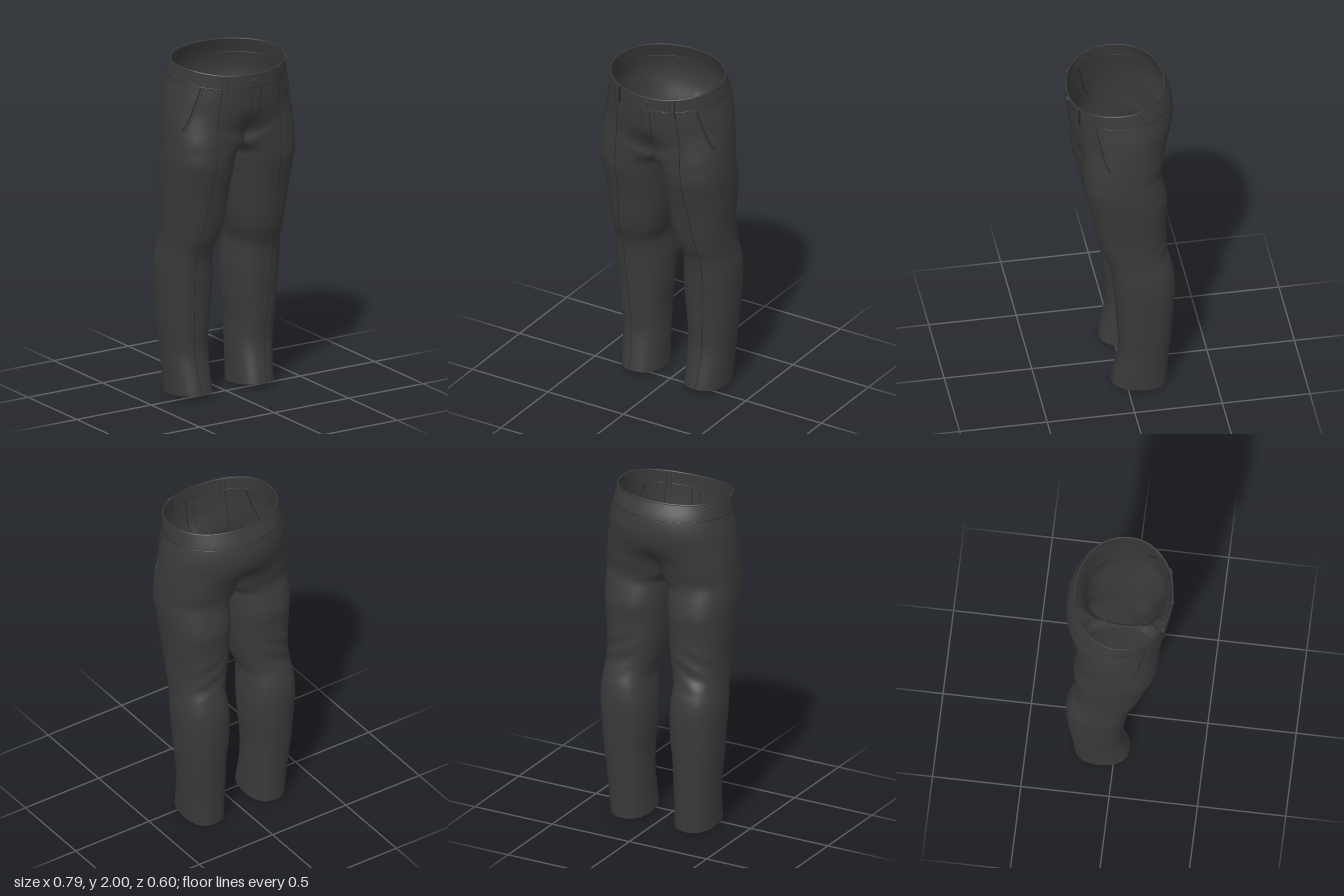
import * as THREE from 'three';
import { mergeGeometries, mergeVertices } from 'three/addons/utils/BufferGeometryUtils.js';

// Silhouette by height: y, outer x, inner x, front z, back z
const KEYS = [
  [0, .325, .088, .085, -.23], [.15, .333, .09, .06, -.238], [.27, .342, .09, .042, -.247],
  [.4, .355, .088, .05, -.258], [.55, .367, .073, .06, -.269], [.7, .376, .07, .075, -.276],
  [.8, .375, .078, .085, -.268], [.87, .367, .082, .102, -.25], [.95, .365, .06, .135, -.228],
  [1.05, .367, .04, .162, -.226], [1.2, .38, .025, .19, -.226], [1.3, .388, .017, .215, -.234],
  [1.4, .395, .008, .238, -.216], [1.45, .395, .003, .242, -.204], [1.5, .394, -.05, .245, -.202],
  [1.6, .39, -.05, .257, -.236], [1.7, .383, -.05, .28, -.277], [1.8, .37, -.05, .292, -.298],
  [1.9, .35, -.05, .297, -.288], [2, .335, -.05, .298, -.25],
];
const CROTCH = 1.5, OUT = 56, IN = 14, ARC = THREE.MathUtils.degToRad(140);
const smooth = (a, b, t) => THREE.MathUtils.smoothstep(t, a, b);
const pow = (c, e) => Math.sign(c) * Math.abs(c) ** e;

// Cubic interpolation of one key column
function key(col, y) {
  let i = 0;
  while (i < KEYS.length - 2 && y > KEYS[i + 1][0]) i++;
  const slope = (k) => {
    const a = KEYS[Math.max(k - 1, 0)], b = KEYS[Math.min(k + 1, KEYS.length - 1)];
    return (b[col] - a[col]) / (b[0] - a[0]);
  };
  const p = KEYS[i], q = KEYS[i + 1], h = q[0] - p[0], t = (y - p[0]) / h;
  return p[col] * (1 + 2 * t) * (1 - t) ** 2 + q[col] * t * t * (3 - 2 * t)
    + h * slope(i) * t * (1 - t) ** 2 + h * slope(i + 1) * t * t * (t - 1);
}

// Left half of the cloth. u 0..1 runs front, outside, back; u 1..2 is the inside of the leg
function cloth(u, v) {
  const xo = key(1, v), xi = key(2, v), zf = key(3, v), zb = key(4, v);
  const theta = u <= 1 ? ARC * (1 - 2 * u) : -ARC - (u - 1) * 2 * (Math.PI - ARC);
  const cz = (zf + zb) / 2, rz = (zf - zb) / 2;
  let x = Math.max(0, (xo + xi) / 2 + (xo - xi) / 2 * pow(Math.cos(theta), .85));
  let z = cz + rz * pow(Math.sin(theta), .85);
  if (v >= CROTCH && u <= 1) {
    const w = smooth(CROTCH, 1.74, v), phi = Math.PI * (.5 - u);
    x = THREE.MathUtils.lerp(x, xo * pow(Math.cos(phi), .95), w);
    z = THREE.MathUtils.lerp(z, cz + rz * pow(Math.sin(phi), .95), w);
    if (u === 0 || u === 1) x = 0;
  }
  // Soft folds at the crotch and behind the knee
  if (u < .5) z += .005 * Math.sin(55 * (v - .4 * x)) * Math.exp(-(((v - 1.52) / .1) ** 2) - (x / .15) ** 2);
  else if (u < 1) z += .004 * Math.sin(60 * (v + .5 * x)) * Math.exp(-(((v - 1) / .12) ** 2)) * Math.sin((u - .5) * 2 * Math.PI);
  // Sloping waist and hem
  const rise = z > 0 ? -.04 * (z / .3) ** 2 : .014 * Math.min(1, -z / .25);
  const y = v + smooth(1.75, 2, v) * (rise - .02) + (1 - smooth(0, .2, v)) * .03 * (z + .235) / .32;
  return new THREE.Vector3(x, y, z);
}

function halfGeometry(side) {
  const rows = [], pos = [], index = [], cols = OUT + IN;
  for (let i = 0; i <= 75; i++) rows.push(CROTCH * i / 75);
  for (let i = 1; i <= 28; i++) rows.push(CROTCH + .5 * i / 28);
  for (const v of rows) {
    for (let j = 0; j < cols; j++) {
      const p = cloth(j <= OUT ? j / OUT : 1 + (j - OUT) / IN, v);
      pos.push(p.x * side, p.y, p.z);
    }
  }
  for (let i = 0; i < rows.length - 1; i++) {
    const count = rows[i] < CROTCH - 1e-6 ? cols : OUT;
    for (let j = 0; j < count; j++) {
      const k = (j + 1) % cols;
      const a = i * cols + j, b = i * cols + k, c = b + cols, d = a + cols;
      if (side > 0) index.push(a, b, c, a, c, d);
      else index.push(a, c, b, a, d, c);
    }
  }
  const g = new THREE.BufferGeometry();
  g.setAttribute('position', new THREE.Float32BufferAttribute(pos, 3));
  g.setIndex(index);
  return g;
}

// Front u for a given x at height v
function uAtX(x, v) {
  let lo = 0, hi = .5;
  for (let i = 0; i < 24; i++) {
    const mid = (lo + hi) / 2;
    if (cloth(mid, v).x < x) lo = mid; else hi = mid;
  }
  return lo;
}
const onFront = (x, v) => {
  const p = cloth(uAtX(Math.abs(x), v), v);
  p.x = x;
  return p;
};

export function createModel() {
  const group = new THREE.Group();
  const fabric = new THREE.MeshStandardMaterial({ color: 0x3a3a3a, side: THREE.DoubleSide });
  fabric.name = 'charcoal fabric';
  const thread = new THREE.MeshStandardMaterial({ color: 0x2a2a2a });
  thread.name = 'dark seam';

  const add = (name, geometry, material) => {
    const mesh = new THREE.Mesh(geometry, material);
    mesh.name = name;
    group.add(mesh);
    return mesh;
  };
  const cord = (name, points, radius, material, closed = false) => add(name,
    new THREE.TubeGeometry(new THREE.CatmullRomCurve3(points, closed), points.length * 3, radius, 6, closed), material);
  const mirrored = (points, side) => points.map((p) => new THREE.Vector3(p.x * side, p.y, p.z));

  // Seat and both legs as one welded cloth
  const body = mergeVertices(mergeGeometries([halfGeometry(1), halfGeometry(-1)]), 1e-5);
  body.computeVertexNormals();
  add('trousers', body, fabric);

  // Waist rim and waistband seam
  const loop = (v) => {
    const half = Array.from({ length: 33 }, (_, i) => cloth(i / 32, v));
    return [...half, ...mirrored(half.slice(1, -1), -1).reverse()];
  };
  cord('waistRim', loop(1.998), .005, fabric, true);
  cord('waistbandSeam', loop(1.905), .0025, thread, true);

  for (const side of [1, -1]) {
    // Pressed crease down the front of each leg
    const creaseX = new THREE.CatmullRomCurve3([[.19, 1.88], [.205, 1.7], [.222, 1.3], [.258, .87], [.24, .4], [.218, .01]]
      .map(([x, y]) => new THREE.Vector3(x, y, 0))).getPoints(50);
    cord('frontCrease', mirrored(creaseX.map((p) => onFront(p.x, p.y)), side), .002, thread);

    // Slanted pocket: raised welt with a dark opening
    const pocket = (du) => [[.3, 1.9], [.305, 1.83], [.32, 1.75], [.35, 1.68], [.4, 1.62]]
      .map(([u, v]) => cloth(u + du, v));
    cord('pocketOpening', mirrored(pocket(0), side), .004, thread);
    cord('pocketWelt', mirrored(pocket(-.014), side), .004, fabric);

    // Belt loop
    const p = onFront(.178 * side, 1.925);
    const beltLoop = add('beltLoop', new THREE.BoxGeometry(.026, .105, .016), fabric);
    beltLoop.position.set(p.x, 1.895, p.z + .006);
    beltLoop.rotation.y = side * .45;
    for (const edge of [-1, 1]) {
      const line = new THREE.Mesh(new THREE.BoxGeometry(.003, .105, .018), thread);
      line.name = 'beltLoopEdge';
      line.position.x = edge * .0135;
      beltLoop.add(line);
    }
  }

  // Fly stitching and button
  cord('flyStitch', [[.045, 1.89], [.045, 1.8], [.042, 1.7], [.03, 1.65], [.004, 1.62]]
    .map(([x, v]) => onFront(x, v)), .003, thread);
  cord('flyOpening', [1.89, 1.82, 1.75, 1.68, 1.62].map((v) => onFront(-.008, v)), .002, thread);
  const button = add('button', new THREE.CylinderGeometry(.02, .022, .008, 24), fabric);
  button.rotation.x = Math.PI / 2;
  button.position.copy(onFront(.014, 1.955)).add(new THREE.Vector3(0, 0, .003));
  const ring = add('buttonRing', new THREE.TorusGeometry(.021, .002, 6, 24), thread);
  ring.position.copy(button.position);
  return group;
}
